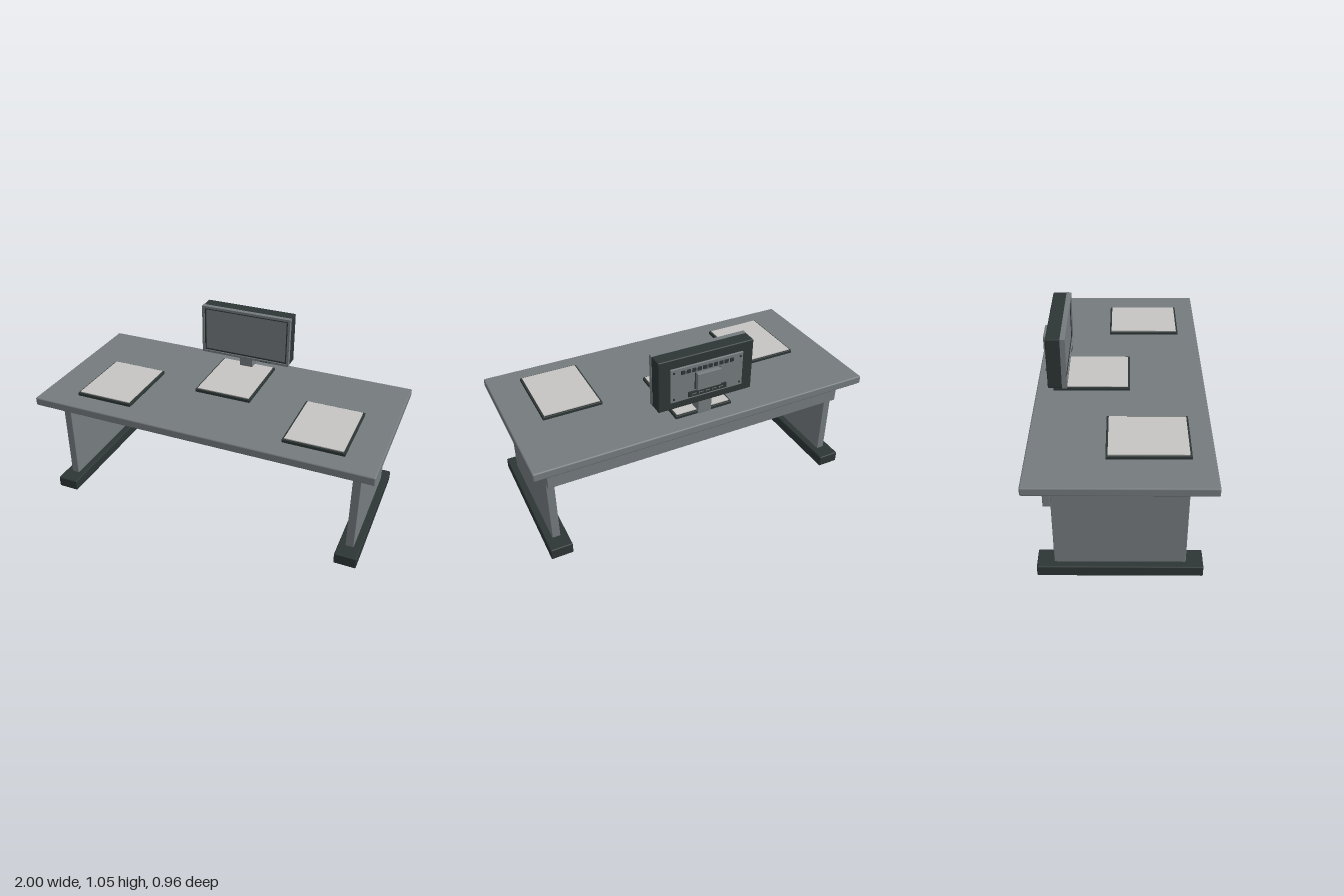
import * as THREE from 'three';
import { RoundedBoxGeometry } from 'three/addons/geometries/RoundedBoxGeometry.js';

const material = (name, color) => {
  const m = new THREE.MeshStandardMaterial({ color });
  m.name = name;
  return m;
};

export function createModel() {
  const grey = material('slate grey', 0x757b7e);
  const dark = material('charcoal', 0x2d3635);
  const paper = material('paper', 0xc6c5c2);

  const model = new THREE.Group();
  model.name = 'desk';

  // Box given by its [min, max] extents, with optionally rounded edges
  const box = (parent, name, mat, [x0, x1], [y0, y1], [z0, z1], r = 0) => {
    const size = [x1 - x0, y1 - y0, z1 - z0];
    const geo = r ? new RoundedBoxGeometry(...size, 2, r) : new THREE.BoxGeometry(...size);
    const mesh = new THREE.Mesh(geo, mat);
    mesh.name = name;
    mesh.position.set((x0 + x1) / 2, (y0 + y1) / 2, (z0 + z1) / 2);
    parent.add(mesh);
    return mesh;
  };

  // Flat rectangular frame extruded forward from z
  const frame = (parent, name, mat, [x0, x1], [y0, y1], border, z, depth) => {
    const rect = (C, i) => {
      const p = new C();
      p.moveTo(x0 + i, y0 + i);
      p.lineTo(x1 - i, y0 + i);
      p.lineTo(x1 - i, y1 - i);
      p.lineTo(x0 + i, y1 - i);
      p.closePath();
      return p;
    };
    const shape = rect(THREE.Shape, 0);
    shape.holes.push(rect(THREE.Path, border));
    const mesh = new THREE.Mesh(new THREE.ExtrudeGeometry(shape, { depth, bevelEnabled: false }), mat);
    mesh.name = name;
    mesh.position.z = z;
    parent.add(mesh);
  };

  // Desk: floating top, panel legs on long feet, rear beam
  box(model, 'deskTop', grey, [-1, 1], [0.606, 0.655], [-0.48, 0.48], 0.008);
  box(model, 'rearBeam', grey, [-0.91, 0.91], [0.455, 0.536], [-0.386, -0.345], 0.004);
  for (const [side, s] of [['left', 1], ['right', -1]]) {
    const leg = new THREE.Group();
    leg.name = side + 'Leg';
    leg.position.x = s * 0.888;
    box(leg, 'legPanel', grey, [-0.023, 0.023], [0.06, 0.552], [-0.346, 0.346], 0.003);
    box(leg, 'foot', dark, [-0.063, 0.063], [0, 0.066], [-0.437, 0.437], 0.006);
    model.add(leg);
  }

  // Writing pads with a sheet on each
  for (const [name, x, z] of [['leftPad', 0.642, 0.143], ['rightPad', -0.612, 0.143], ['centrePad', -0.002, -0.165]]) {
    const pad = new THREE.Group();
    pad.name = name;
    pad.position.set(x, 0.655, z);
    box(pad, 'padBase', dark, [-0.172, 0.172], [0, 0.019], [-0.217, 0.217], 0.003);
    box(pad, 'sheet', paper, [-0.161, 0.161], [0.015, 0.024], [-0.206, 0.206]);
    model.add(pad);
  }

  // Monitor: neck, dark housing, grey bezel and recessed screen
  const monitor = new THREE.Group();
  monitor.name = 'monitor';
  model.add(monitor);
  box(monitor, 'neck', grey, [-0.04, 0.04], [0.66, 0.75], [-0.392, -0.323]);
  box(monitor, 'housing', dark, [-0.281, 0.281], [0.743, 1.048], [-0.4, -0.32], 0.006);
  frame(monitor, 'bezel', grey, [-0.281, 0.281], [0.743, 1.048], 0.014, -0.322, 0.028);
  frame(monitor, 'screenSurround', dark, [-0.267, 0.267], [0.757, 1.034], 0.009, -0.322, 0.021);
  box(monitor, 'screen', grey, [-0.259, 0.259], [0.765, 1.026], [-0.322, -0.305]);
  for (let i = 0; i < 4; i++) {
    const x = 0.105 + i * 0.017;
    box(monitor, 'button', dark, [x, x + 0.009], [0.745, 0.751], [-0.296, -0.291]);
  }

  // Rear service plate with vents, mount, port strip and screws
  const back = new THREE.Group();
  back.name = 'monitorBack';
  monitor.add(back);
  box(back, 'backPlate', grey, [-0.215, 0.215], [0.79, 0.995], [-0.41, -0.398], 0.003);
  for (let i = 0; i < 10; i++) {
    const x = -0.144 + i * 0.032;
    box(back, 'vent', dark, [x - 0.011, x + 0.011], [0.955, 0.976], [-0.415, -0.408]);
  }
  box(back, 'mountBlock', grey, [-0.07, 0.07], [0.845, 0.945], [-0.435, -0.408], 0.003);
  for (const s of [-1, 1]) {
    box(back, 'mountSeam', dark, [s * 0.072 - 0.003, s * 0.072 + 0.003], [0.845, 0.945], [-0.414, -0.408]);
    for (const y of [0.812, 0.973]) {
      const screw = new THREE.Mesh(new THREE.CylinderGeometry(0.006, 0.006, 0.008, 12), dark);
      screw.name = 'screw';
      screw.rotation.x = Math.PI / 2;
      screw.position.set(s * 0.197, y, -0.411);
      back.add(screw);
    }
  }
  box(back, 'portStrip', dark, [-0.115, 0.115], [0.806, 0.835], [-0.419, -0.408]);
  for (let i = 0; i < 5; i++) {
    const x = -0.08 + i * 0.04;
    box(back, 'port', grey, [x - 0.012, x + 0.012], [0.814, 0.824], [-0.422, -0.417]);
    box(back, 'portPlug', dark, [x - 0.009, x + 0.009], [0.816, 0.822], [-0.428, -0.421]);
  }

  return model;
}
